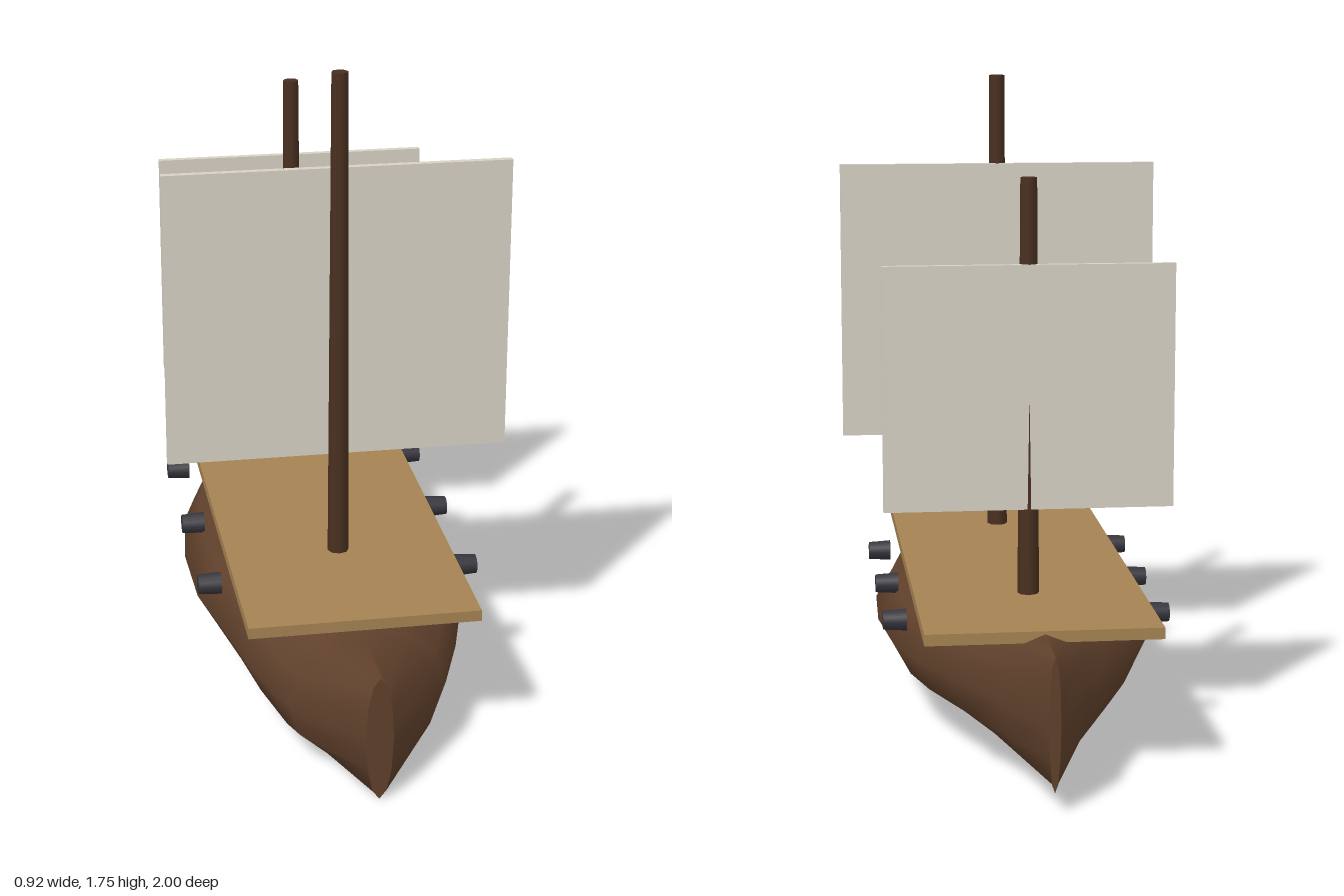
import * as THREE from 'three';

const mat = (name, color) => {
  const m = new THREE.MeshStandardMaterial({ color });
  m.name = name;
  return m;
};

// Hull: squashed 12-sided rings lofted from stern to bow
function hullGeometry() {
  // z, half width, vertical shift
  const stations = [
    [-1, 0.015, 0], [-0.8, 0.115, 0], [-0.6, 0.215, 0], [-0.4, 0.305, 0],
    [-0.25, 0.352, 0], [0, 0.38, 0], [0.25, 0.373, 0], [0.47, 0.325, 0],
    [0.6, 0.285, -0.027], [0.74, 0.228, -0.053], [0.8, 0.2, -0.054], [1, 0.036, -0.054],
  ];
  const sides = 12, midY = 0.227, halfHeight = 0.173;
  const positions = [], index = [];
  const addRing = ([z, w, dy]) => {
    for (let j = 0; j < sides; j++) {
      const a = (j / sides) * Math.PI * 2;
      positions.push(w * Math.cos(a), midY + dy + halfHeight * Math.sin(a), z);
    }
  };
  stations.forEach(addRing);
  for (let i = 0; i < stations.length - 1; i++) {
    for (let j = 0; j < sides; j++) {
      const k = (j + 1) % sides;
      const a = i * sides + j, b = i * sides + k, c = a + sides, d = b + sides;
      index.push(a, b, c, b, d, c);
    }
  }
  // end caps with their own vertices
  const cap = (station, front) => {
    const s = positions.length / 3;
    addRing(station);
    for (let j = 1; j < sides - 1; j++) {
      if (front) index.push(s, s + j, s + j + 1);
      else index.push(s, s + j + 1, s + j);
    }
  };
  cap(stations[0], false);
  cap(stations[stations.length - 1], true);
  const g = new THREE.BufferGeometry();
  g.setAttribute('position', new THREE.Float32BufferAttribute(positions, 3));
  g.setIndex(index);
  g.computeVertexNormals();
  return g;
}

export function createModel() {
  const group = new THREE.Group();
  const hullWood = mat('hull brown', 0x5f402b);
  const deckWood = mat('deck tan', 0xa58352);
  const mastWood = mat('mast dark brown', 0x4a3020);
  const canvas = mat('sail canvas', 0xd8d2c4);
  const iron = mat('cannon iron', 0x35353d);

  const add = (name, geometry, material, x, y, z) => {
    const mesh = new THREE.Mesh(geometry, material);
    mesh.name = name;
    mesh.position.set(x, y, z);
    group.add(mesh);
    return mesh;
  };

  add('hull', hullGeometry(), hullWood, 0, 0, 0);
  add('deck', new THREE.BoxGeometry(0.61, 0.03, 1.6), deckWood, 0, 0.393, 0);

  // Masts, each with a square sail
  const rigs = [
    { name: 'fore', z: 0.385, top: 1.745, sailZ: 0.368, width: 0.92, low: 0.69, high: 1.49 },
    { name: 'aft', z: -0.423, top: 1.515, sailZ: -0.439, width: 0.77, low: 0.64, high: 1.29 },
  ];
  for (const r of rigs) {
    const h = r.top - 0.39;
    add(r.name + 'Mast', new THREE.CylinderGeometry(0.022, 0.029, h, 8), mastWood, 0, 0.39 + h / 2, r.z);
    add(r.name + 'Sail', new THREE.BoxGeometry(r.width, r.high - r.low, 0.019), canvas,
      0, (r.low + r.high) / 2, r.sailZ);
  }

  // Three cannons on each side
  const barrel = new THREE.CylinderGeometry(0.026, 0.03, 0.063, 12);
  for (const side of [-1, 1]) {
    for (const z of [-0.385, 0, 0.385]) {
      const c = add(side > 0 ? 'leftCannon' : 'rightCannon', barrel, iron, side * 0.355, 0.332, z);
      c.rotation.z = -side * Math.PI / 2;
    }
  }
  return group;
}
